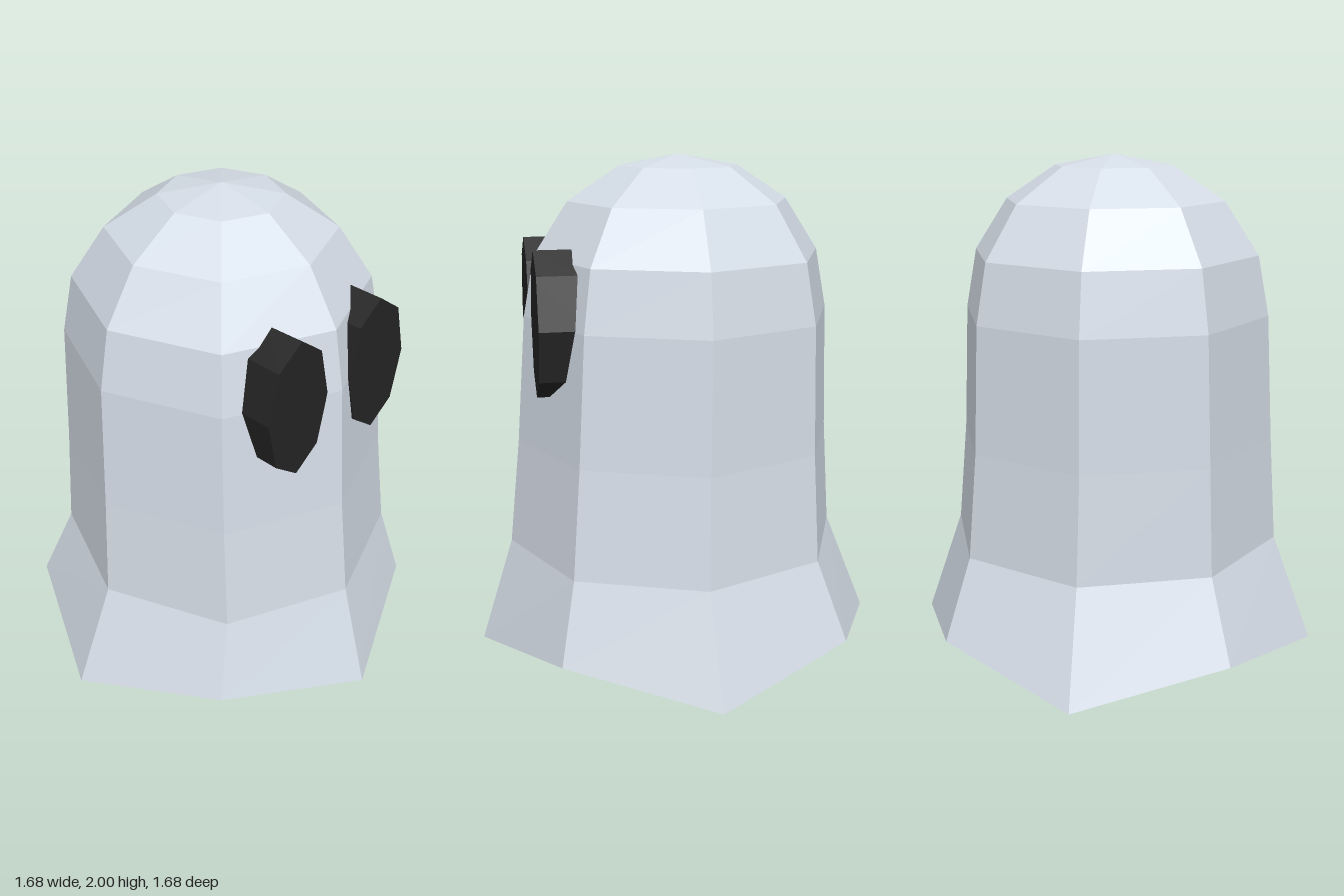
import * as THREE from 'three';

const SIDES = 8;

// Faceted sheet from octagonal rings, listed from hem to crown
function sheetGeometry() {
  // y, radius, x shift, z shift
  const rings = [
    [0.43, 0.687, 0.008, 0.022],
    [0.86, 0.653, 0, 0.012],
    [1.37, 0.628, 0, 0],
    [1.61, 0.583, 0, 0],
    [1.82, 0.446, 0, 0],
    [1.955, 0.241, 0, 0],
    [2, 0, 0, 0],
  ];
  const positions = [];
  const addRing = (pointAt) => {
    for (let i = 0; i < SIDES; i++) {
      const a = (i / SIDES) * Math.PI * 2;
      const [y, r, dx, dz] = pointAt(i);
      positions.push(Math.sin(a) * r + dx, y, Math.cos(a) * r + dz);
    }
  };
  // Hem alternates between low points and raised arches
  addRing((i) => (i % 2 ? [0.11, 0.803, 0, 0] : [0, 0.84, 0, 0]));
  rings.forEach((ring) => addRing(() => ring));

  const index = [];
  for (let k = 0; k < rings.length; k++) {
    for (let i = 0; i < SIDES; i++) {
      const j = (i + 1) % SIDES;
      const a = k * SIDES + i, b = k * SIDES + j;
      const c = b + SIDES, d = a + SIDES;
      index.push(a, b, c);
      if (k < rings.length - 1) index.push(a, c, d);
    }
  }
  const indexed = new THREE.BufferGeometry();
  indexed.setAttribute('position', new THREE.Float32BufferAttribute(positions, 3));
  indexed.setIndex(index);
  const geometry = indexed.toNonIndexed();
  geometry.computeVertexNormals();
  return geometry;
}

// Tall octagonal prism facing forwards
function eyeGeometry(back, front) {
  const geometry = new THREE.CylinderGeometry(1, 1, front - back, SIDES).toNonIndexed();
  geometry.rotateX(Math.PI / 2);
  geometry.scale(0.158, 0.285, 1);
  geometry.translate(0, 0, (front + back) / 2);
  geometry.computeVertexNormals();
  return geometry;
}

export function createModel() {
  const cloth = new THREE.MeshStandardMaterial({
    color: 0xd8e0ea, flatShading: true, side: THREE.DoubleSide,
  });
  cloth.name = 'pale cloth';
  const black = new THREE.MeshStandardMaterial({ color: 0x252525, flatShading: true });
  black.name = 'eye black';

  const group = new THREE.Group();
  group.name = 'ghost';

  const sheet = new THREE.Mesh(sheetGeometry(), cloth);
  sheet.name = 'sheet';
  group.add(sheet);

  // Eyes
  const eyeShape = eyeGeometry(0.44, 0.604);
  for (const [name, x] of [['leftEye', 0.225], ['rightEye', -0.213]]) {
    const eye = new THREE.Mesh(eyeShape, black);
    eye.name = name;
    eye.position.set(x, 1.375, 0);
    group.add(eye);
  }
  return group;
}
